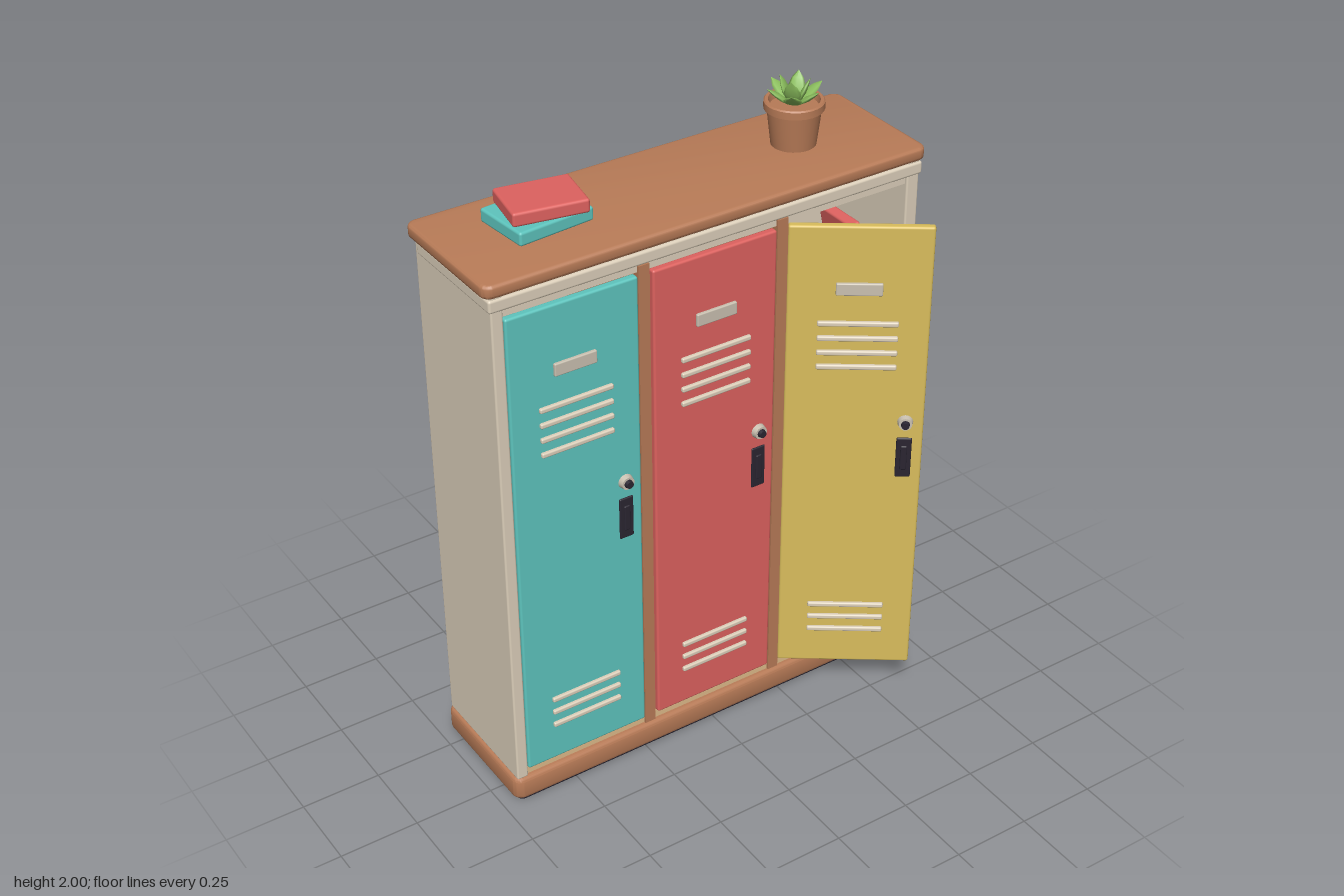
import * as THREE from 'three';
import { toCreasedNormals } from 'three/addons/utils/BufferGeometryUtils.js';
import { RoundedBoxGeometry } from 'three/addons/geometries/RoundedBoxGeometry.js';

const paint = (name, color) => {
  const m = new THREE.MeshStandardMaterial({ color });
  m.name = name;
  return m;
};

export function createModel() {
  const teal = paint('teal', 0x5ec5be);
  const red = paint('red', 0xde625f);
  const yellow = paint('yellow', 0xd9bd5c);
  const cream = paint('cream', 0xdccfba);
  const wood = paint('wood', 0xb87b57);
  const dark = paint('dark', 0x2a2531);
  const lilac = paint('lilac', 0x988dc2);
  const green = paint('leaf green', 0x8cc05e);
  const tan = paint('light wood', 0xdfbb8a);
  const metal = paint('metal', 0xc9c0b0);

  const model = new THREE.Group();
  model.name = 'lockers';

  const add = (parent, name, geometry, material, x = 0, y = 0, z = 0) => {
    const mesh = new THREE.Mesh(geometry, material);
    mesh.name = name;
    mesh.position.set(x, y, z);
    parent.add(mesh);
    return mesh;
  };
  // box given by its limits, with optionally rounded edges
  const box = (parent, name, material, [x0, x1], [y0, y1], [z0, z1], r = 0) => {
    const s = [x1 - x0, y1 - y0, z1 - z0];
    const g = r ? new RoundedBoxGeometry(...s, 2, r) : new THREE.BoxGeometry(...s);
    return add(parent, name, g, material, (x0 + x1) / 2, (y0 + y1) / 2, (z0 + z1) / 2);
  };
  // horizontal board with rounded corners and bevelled rims
  const board = (name, material, halfW, [y0, y1], [z0, z1], corner, bevel) => {
    const w = halfW - bevel, d = (z1 - z0) / 2 - bevel, r = corner;
    const s = new THREE.Shape();
    s.moveTo(-w + r, -d);
    s.lineTo(w - r, -d);
    s.absarc(w - r, -d + r, r, -Math.PI / 2, 0);
    s.absarc(w - r, d - r, r, 0, Math.PI / 2);
    s.absarc(-w + r, d - r, r, Math.PI / 2, Math.PI);
    s.absarc(-w + r, -d + r, r, Math.PI, Math.PI * 1.5);
    const g = new THREE.ExtrudeGeometry(s, {
      depth: y1 - y0 - 2 * bevel, bevelThickness: bevel, bevelSize: bevel, bevelSegments: 3, curveSegments: 6,
    });
    g.rotateX(-Math.PI / 2);
    return add(model, name, toCreasedNormals(g, 0.7), material, 0, y0 + bevel, (z0 + z1) / 2);
  };

  // plinth and top
  board('underside', dark, 0.7, [0, 0.03], [-0.31, 0.09], 0.02, 0.004);
  board('plinth', wood, 0.715, [0.015, 0.092], [-0.325, 0.105], 0.02, 0.012);
  board('topBoard', wood, 0.725, [1.75, 1.79], [-0.333, 0.105], 0.02, 0.01);

  // carcass
  for (const s of [-1, 1]) {
    const xs = s < 0 ? [-0.705, -0.668] : [0.662, 0.705];
    box(model, 'sidePanel', cream, xs, [0.09, 1.752], [-0.315, 0.095], 0.006);
  }
  box(model, 'backPanel', cream, [-0.7, 0.7], [0.09, 1.752], [-0.315, -0.295]);
  box(model, 'ceiling', cream, [-0.67, 0.67], [1.68, 1.752], [-0.3, 0.085]);
  box(model, 'cornice', cream, [-0.712, 0.712], [1.705, 1.745], [-0.292, 0.1], 0.008);
  box(model, 'floor', tan, [-0.67, 0.67], [0.088, 0.118], [-0.3, 0.085]);
  for (const x of [-0.232, 0.228]) {
    box(model, 'divider', wood, [x - 0.018, x + 0.018], [0.09, 1.7], [-0.3, 0.092]);
  }
  for (const [x0, x1] of [[-0.67, -0.25], [-0.214, 0.21], [0.246, 0.664]]) {
    box(model, 'shelf', tan, [x0, x1], [1.312, 1.336], [-0.3, 0.05], 0.004);
  }

  // doors, each hung from its left edge as seen from the front
  const W = 0.412, T = 0.025, mid = W / 2;
  const makeDoor = (name, material, x, angle) => {
    const door = new THREE.Group();
    door.name = name;
    door.position.set(x, 0, 0.074);
    door.rotation.y = -angle;
    box(door, 'doorPanel', material, [0, W], [0.12, 1.675], [0, T], 0.007);
    box(door, 'namePlate', metal, [mid - 0.067, mid + 0.067], [1.456, 1.496], [T - 0.004, T + 0.009], 0.004);
    for (const y of [1.362, 1.313, 1.265, 1.217, 0.347, 0.3, 0.252]) {
      box(door, 'vent', cream, [mid - 0.117, mid + 0.117], [y - 0.008, y + 0.008], [T - 0.006, T + 0.01], 0.005);
    }
    const lx = mid + 0.152;
    const ring = add(door, 'lockRing', new THREE.CylinderGeometry(0.02, 0.024, 0.018, 20), metal, lx, 1.027, T + 0.007);
    const core = add(door, 'lockCore', new THREE.CylinderGeometry(0.011, 0.014, 0.014, 16), dark, lx, 1.027, T + 0.02);
    ring.rotation.x = core.rotation.x = Math.PI / 2;
    box(door, 'handlePlate', dark, [lx - 0.023, lx + 0.023], [0.833, 0.971], [T - 0.004, T + 0.005], 0.004);
    box(door, 'handleGrip', dark, [lx - 0.01, lx + 0.01], [0.86, 0.945], [T, T + 0.009], 0.004);
    model.add(door);
  };
  makeDoor('tealDoor', teal, -0.667, 0);
  makeDoor('redDoor', red, -0.208, 0);
  makeDoor('yellowDoor', yellow, 0.258, 0.62);

  // books
  const book = (name, material, size, pos, turn, lean = 0) => {
    const mesh = add(model, name, new RoundedBoxGeometry(...size, 2, 0.008), material, ...pos);
    mesh.rotation.set(0, turn, lean);
  };
  book('lowerBook', teal, [0.243, 0.042, 0.187], [-0.425, 1.811, -0.135], 0.09);
  book('upperBook', red, [0.22, 0.042, 0.165], [-0.415, 1.853, -0.127], -0.18);
  book('flatBook', lilac, [0.19, 0.04, 0.22], [0.44, 1.356, -0.09], 0.08);
  book('leaningBook', red, [0.035, 0.2, 0.16], [0.585, 1.437, -0.09], 0, 0.2);

  // potted plant
  const plant = new THREE.Group();
  plant.name = 'plant';
  plant.position.set(0.42, 1.788, -0.13);
  model.add(plant);
  const profile = [[0, 0], [0.066, 0], [0.079, 0.11], [0.088, 0.113], [0.088, 0.135],
    [0.084, 0.139], [0.075, 0.139], [0.07, 0.118], [0, 0.118]].map(p => new THREE.Vector2(...p));
  add(plant, 'pot', toCreasedNormals(new THREE.LatheGeometry(profile, 28), 0.6), wood);

  // pointed flattened leaves in two whorls
  const leafProfile = [[0, 0], [0.02, 0.018], [0.028, 0.045], [0.019, 0.072], [0, 0.096]]
    .map(p => new THREE.Vector2(...p));
  const leaf = new THREE.LatheGeometry(leafProfile, 8).scale(1, 1, 0.3);
  const whorl = (count, tilt, scale, offset, y) => {
    for (let i = 0; i < count; i++) {
      const stem = new THREE.Group();
      stem.name = 'leafStem';
      stem.rotation.y = offset + (i / count) * Math.PI * 2;
      const mesh = add(stem, 'leaf', leaf, green, 0, y, 0.01);
      mesh.rotation.x = tilt;
      mesh.scale.setScalar(scale);
      plant.add(stem);
    }
  };
  whorl(6, 0.92, 0.98, 0.3, 0.124);
  whorl(4, 0.4, 0.93, 0.7, 0.126);
  return model;
}
